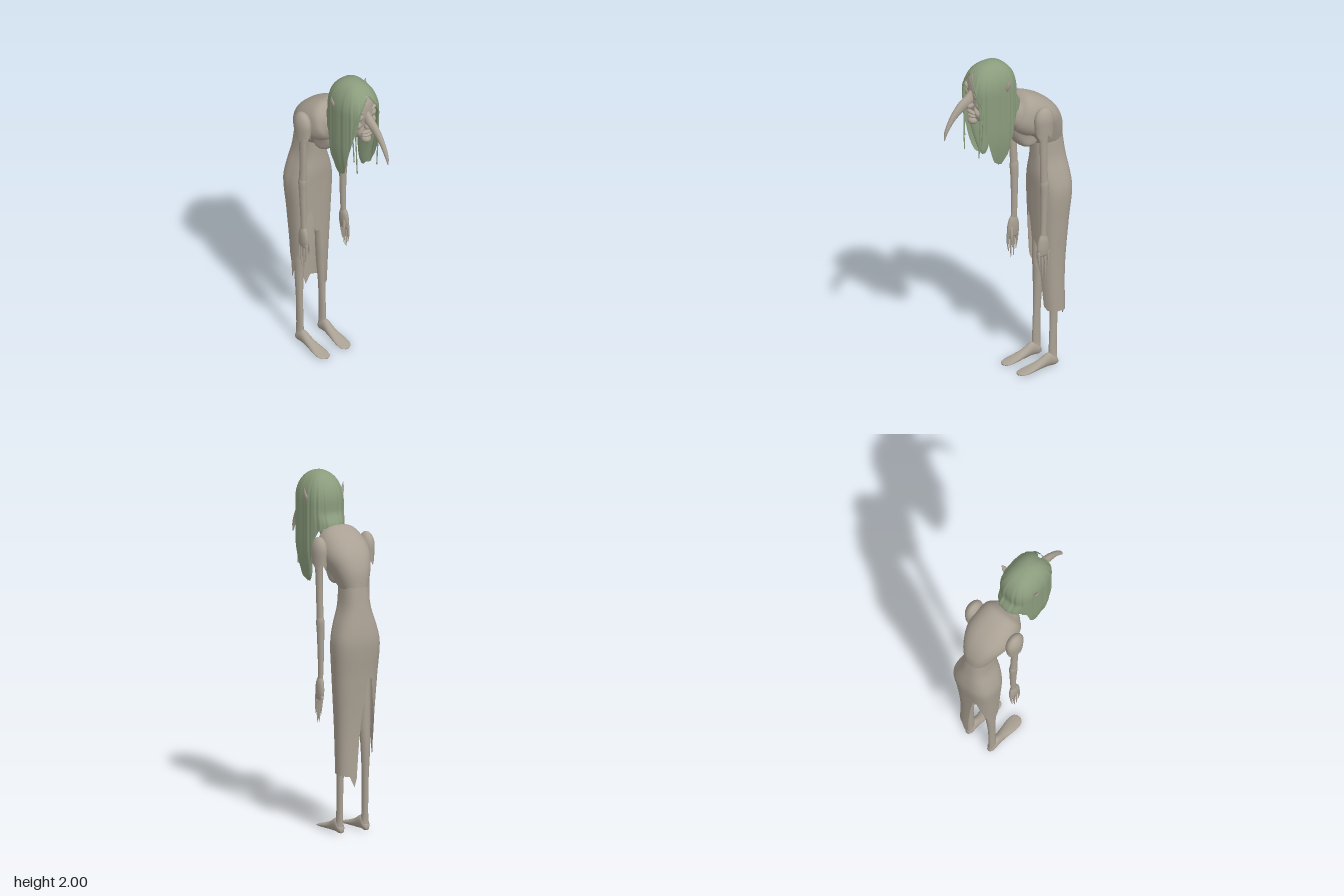
import * as THREE from 'three';

const skin = new THREE.MeshStandardMaterial({ color: 0xaaa194, side: THREE.DoubleSide });
skin.name = 'greyBeige';
const green = new THREE.MeshStandardMaterial({ color: 0x8b9c7d, side: THREE.DoubleSide });
green.name = 'mossGreen';

// Smooth lookup in rows of [key, a, b, ...]
function smooth(rows, k) {
  const n = rows.length;
  k = Math.min(Math.max(k, rows[0][0]), rows[n - 1][0]);
  let i = 0;
  while (i < n - 2 && k > rows[i + 1][0]) i++;
  const at = (j) => rows[Math.min(Math.max(j, 0), n - 1)];
  const h = at(i + 1)[0] - at(i)[0], t = (k - at(i)[0]) / h;
  const slope = (j, c) => (at(j + 1)[c] - at(j - 1)[c]) / (at(j + 1)[0] - at(j - 1)[0]) * h;
  return rows[0].slice(1).map((_, m) => {
    const c = m + 1, t2 = t * t, t3 = t2 * t;
    return (2 * t3 - 3 * t2 + 1) * at(i)[c] + (t3 - 2 * t2 + t) * slope(i, c)
      + (3 * t2 - 2 * t3) * at(i + 1)[c] + (t3 - t2) * slope(i + 1, c);
  });
}

// Straight lookup in pairs of [key, value]
function linear(pairs, k) {
  let i = 0;
  while (i < pairs.length - 2 && k > pairs[i + 1][0]) i++;
  const [a, b] = [pairs[i], pairs[i + 1]];
  return a[1] + (b[1] - a[1]) * Math.min(1, Math.max(0, (k - a[0]) / (b[0] - a[0])));
}

// Rounded-box curve: n = 2 is an ellipse, higher is squarer
const bow = (v, n) => Math.sign(v) * Math.pow(Math.abs(v), 2 / n);

function grid(pos, cols, rows, caps) {
  const idx = [];
  for (let r = 0; r < rows; r++) for (let i = 0; i < cols; i++) {
    const j = (i + 1) % cols, a = r * cols + i, b = r * cols + j;
    idx.push(a, b, b + cols, a, b + cols, a + cols);
    const end = cols * (rows + 1);
    if (caps && r === 0) idx.push(end, b, a);
    if (caps && r === rows - 1) idx.push(end + 1, a + cols, b + cols);
  }
  const g = new THREE.BufferGeometry();
  g.setAttribute('position', new THREE.Float32BufferAttribute(pos, 3));
  g.setIndex(idx);
  g.computeVertexNormals();
  return g;
}

function add(parent, name, geo, mat) {
  const m = new THREE.Mesh(geo, mat);
  m.name = name;
  parent.add(m);
  return m;
}

// Closed form through rings [x, y, z, halfWidth, halfDepth, tilt?]
function loft(rings, cols = 20, per = 6, n = 2) {
  const keyed = rings.map((r, i) => [i, ...r]), last = (rings.length - 1) * per, pos = [];
  const s = [];
  for (let i = 0; i <= last; i++) s.push(smooth(keyed, i / per));
  s.forEach((c, i) => {
    const p = s[Math.max(0, i - 1)], q = s[Math.min(last, i + 1)];
    const t = c.length > 5 ? c[5] : Math.atan2(q[2] - p[2], q[1] - p[1]);
    for (let k = 0; k < cols; k++) {
      const a = k / cols * Math.PI * 2, d = bow(Math.cos(a), n) * c[4];
      pos.push(c[0] + bow(Math.sin(a), n) * c[3], c[1] - Math.sin(t) * d, c[2] + Math.cos(t) * d);
    }
  });
  pos.push(...s[0].slice(0, 3), ...s[last].slice(0, 3));
  return grid(pos, cols, last, true);
}

// Hanging cloth or hair: shape(y, angle) gives [halfWidth, halfDepth, zCentre], hem(deg) the lower edge
function sheet(top, hem, shape, cols, rows, ease = 1, n = 2) {
  const pos = [];
  for (let r = 0; r <= rows; r++) for (let i = 0; i < cols; i++) {
    const a = i / cols * Math.PI * 2, low = hem(i / cols * 360);
    const y = top - (top - low) * Math.pow(1 - r / rows, ease);
    const [w, d, z] = shape(y, a);
    pos.push(bow(Math.sin(a), n) * w, y, z + bow(Math.cos(a), n) * d);
  }
  return grid(pos, cols, rows, false);
}

function ball(parent, name, p, r) {
  const m = add(parent, name, new THREE.SphereGeometry(1, 24, 18), skin);
  m.position.set(...p);
  m.scale.set(...r);
  return m;
}

const dome = (y, top, h, e) => {
  const t = Math.min(1, Math.max(0, (top - y) / h));
  return Math.pow(1 - Math.pow(1 - t, e), 1 / e);
};

export function createModel() {
  const g = new THREE.Group();
  g.name = 'stoopedFigure';

  // Torn dress
  const body = [[0.28, 0.11, 0.07, -0.3], [0.6, 0.112, 0.08, -0.29], [0.9, 0.128, 0.095, -0.296],
    [1.1, 0.137, 0.109, -0.304], [1.2, 0.116, 0.108, -0.298], [1.3, 0.085, 0.099, -0.292], [1.42, 0.073, 0.092, -0.283]];
  const hem = [[0, 0.77], [6, 0.74], [13, 0.68], [18, 0.55], [24, 0.37], [40, 0.35], [150, 0.34], [160, 0.3],
    [166, 0.28], [172, 0.33], [177, 0.5], [182, 0.72], [192, 0.9], [203, 0.9], [214, 0.78], [228, 0.7], [245, 0.6], [258, 0.55],
    [267, 0.43], [278, 0.58], [300, 0.63], [320, 0.72], [330, 0.9], [339, 0.935], [346, 0.9], [352, 0.78], [360, 0.77]];
  add(g, 'dress', sheet(1.42, (d) => linear(hem, d), (y) => smooth(body, y), 180, 36, 1, 2.6), skin);

  // Hunched torso, bodice front and neck
  add(g, 'torso', loft([
    [0, 1.4, -0.284, 0.072, 0.091, 0], [0, 1.5, -0.242, 0.108, 0.124, 0.2], [0, 1.57, -0.185, 0.136, 0.13, 0.65],
    [0, 1.628, -0.09, 0.122, 0.115, 1.12], [0, 1.63, -0.045, 0.085, 0.076, 1.25], [0, 1.65, -0.01, 0.05, 0.05, 1.2],
    [0, 1.73, 0.06, 0.045, 0.045, 0.8],
  ], 48, 8, 2.4), skin);
  add(g, 'bodice', loft([[0, 1.41, -0.145, 0.055, 0.045, 0], [0, 1.43, -0.137, 0.066, 0.062, 0], [0, 1.48, -0.125, 0.07, 0.082, 0],
    [0, 1.54, -0.12, 0.08, 0.087, 0], [0, 1.6, -0.125, 0.09, 0.08, 0]], 32, 6, 2.6), skin);
  for (let i = 0; i < 5; i++) {
    ball(g, 'spineBump', [0, 1.45 + i * 0.047, [-0.362, -0.352, -0.336, -0.31, -0.27][i]], [0.014, 0.016, 0.012]);
  }

  // Arms, sleeves and hands
  for (const s of [-1, 1]) {
    const arm = new THREE.Group();
    arm.name = s > 0 ? 'leftArm' : 'rightArm';
    g.add(arm);
    const sleeve = sheet(1.685, (d) => 1.5 + 0.04 * Math.abs(((d / 40) % 2) - 1), (y) => {
      const f = dome(y, 1.685, 0.08, 2) * (1 - 0.12 * Math.max(0, (1.6 - y) / 0.1));
      return [0.041 * f, 0.062 * f, 0];
    }, 54, 16, 2);
    add(arm, 'sleeve', sleeve, skin).position.set(s * 0.15, 0, -0.163);
    add(arm, 'upperArm', loft([[s * 0.146, 1.2, -0.167, 0.019, 0.024], [s * 0.147, 1.3, -0.163, 0.018, 0.023],
      [s * 0.149, 1.45, -0.16, 0.019, 0.025], [s * 0.15, 1.6, -0.16, 0.025, 0.035]]), skin);
    add(arm, 'forearm', loft([[s * 0.143, 0.86, -0.163, 0.013, 0.019], [s * 0.142, 0.95, -0.166, 0.015, 0.019],
      [s * 0.144, 1.12, -0.168, 0.02, 0.023], [s * 0.146, 1.2, -0.168, 0.022, 0.027], [s * 0.146, 1.235, -0.166, 0.015, 0.018]]), skin);
    add(arm, 'palm', loft([[s * 0.146, 0.755, -0.161, 0.012, 0.035], [s * 0.145, 0.8, -0.16, 0.018, 0.04],
      [s * 0.144, 0.85, -0.161, 0.018, 0.032], [s * 0.143, 0.885, -0.163, 0.011, 0.016]]), skin);
    [0.03, 0.011, -0.009, -0.029].forEach((z, i) => {
      const tip = [0.66, 0.62, 0.625, 0.665][i];
      add(arm, 'finger', loft([[s * 0.153, tip, -0.16 + z * 0.85, 0.002, 0.002], [s * 0.152, (tip + 0.77) / 2, -0.16 + z * 1.05, 0.006, 0.006],
        [s * 0.147, 0.78, -0.16 + z, 0.009, 0.01]], 8, 4), skin);
    });
    add(arm, 'thumb', loft([[s * 0.122, 0.7, -0.14, 0.003, 0.003], [s * 0.125, 0.76, -0.137, 0.007, 0.008],
      [s * 0.138, 0.82, -0.145, 0.01, 0.012]], 8, 4), skin);
  }

  // Thin legs and long flat feet
  for (const s of [-1, 1]) {
    const leg = new THREE.Group();
    leg.name = s > 0 ? 'leftLeg' : 'rightLeg';
    g.add(leg);
    add(leg, 'shin', loft([[s * 0.08, 0.03, -0.275, 0.024, 0.024], [s * 0.08, 0.1, -0.272, 0.017, 0.026],
      [s * 0.08, 0.3, -0.277, 0.018, 0.024], [s * 0.078, 0.48, -0.282, 0.026, 0.03],
      [s * 0.074, 0.6, -0.28, 0.03, 0.033], [s * 0.068, 0.75, -0.282, 0.027, 0.034], [s * 0.06, 0.95, -0.285, 0.03, 0.038]]), skin);
    add(leg, 'foot', loft([[s * 0.08, 0.022, -0.302, 0.012, 0.014, 1.57], [s * 0.08, 0.035, -0.28, 0.024, 0.032, 1.57],
      [s * 0.08, 0.046, -0.24, 0.025, 0.04, 1.57], [s * 0.078, 0.03, -0.18, 0.029, 0.026, 1.57],
      [s * 0.077, 0.016, -0.1, 0.039, 0.013, 1.57], [s * 0.075, 0.01, -0.055, 0.033, 0.007, 1.57],
      [s * 0.073, 0.008, -0.038, 0.015, 0.004, 1.57]], 20, 5), skin);
  }
  // Ragged cloth around the exposed knee
  const cuff = sheet(0.93, (d) => 0.565 + 0.045 * Math.abs(((d / 36) % 2) - 1), (y) => [0.033, 0.04, 0], 60, 10);
  add(g, 'tornUnderskirt', cuff, skin).position.set(-0.07, 0, -0.282);

  // Head and wrinkled face
  const head = new THREE.Group();
  head.name = 'head';
  g.add(head);
  add(head, 'skull', loft([[0, 1.66, 0.165, 0.035, 0.045, 0], [0, 1.7, 0.15, 0.062, 0.075, 0], [0, 1.77, 0.13, 0.082, 0.1, 0],
    [0, 1.84, 0.125, 0.092, 0.112, 0], [0, 1.91, 0.12, 0.084, 0.108, 0], [0, 1.96, 0.12, 0.055, 0.07, 0]], 32, 6, 2.3), skin);
  ball(head, 'chin', [0, 1.662, 0.218], [0.028, 0.024, 0.03]);
  ball(head, 'upperLip', [0, 1.717, 0.228], [0.038, 0.011, 0.018]);
  ball(head, 'lowerLip', [0, 1.694, 0.227], [0.032, 0.01, 0.018]);
  for (const s of [-1, 1]) {
    ball(head, 'eyelid', [s * 0.042, 1.825, 0.215], [0.027, 0.024, 0.022]);
    ball(head, 'brow', [s * 0.04, 1.86, 0.22], [0.036, 0.01, 0.016]).rotation.z = s * 0.35;
    ball(head, 'cheek', [s * 0.05, 1.768, 0.2], [0.025, 0.028, 0.03]);
    ball(head, 'smileFold', [s * 0.036, 1.733, 0.21], [0.009, 0.035, 0.022]).rotation.z = s * 0.45;
    ball(head, 'nostril', [s * 0.018, 1.767, 0.248], [0.014, 0.017, 0.022]);
    const ear = add(head, 'ear', loft([[0, 0, 0, 0.006, 0.008], [0.005, 0.025, 0, 0.011, 0.016],
      [0.014, 0.05, -0.003, 0.008, 0.012], [0.022, 0.085, -0.008, 0.001, 0.002]], 12, 5), skin);
    ear.position.set(s * 0.107, 1.838, 0.06);
    if (s < 0) ear.rotation.y = Math.PI;
  }
  add(head, 'hookedNose', loft([[0, 1.588, 0.414, 0.003, 0.003], [0, 1.64, 0.4, 0.011, 0.011], [0, 1.71, 0.358, 0.015, 0.019],
    [0, 1.765, 0.3, 0.02, 0.03], [0, 1.8, 0.245, 0.024, 0.034], [0, 1.86, 0.205, 0.016, 0.02]], 20, 7), skin);

  // Long parted hair, flaring over the nape
  const hair = new THREE.Group();
  hair.name = 'hair';
  g.add(hair);
  const edge = [[0, 1.955], [8, 1.925], [20, 1.885], [31, 1.81], [39, 1.74], [50, 1.67], [62, 1.57], [71, 1.49], [82, 1.41], [94, 1.378],
    [105, 1.43], [116, 1.51], [126, 1.61], [140, 1.68], [155, 1.7], [180, 1.7]];
  const hairShape = (y, a) => {
    const f = dome(y, 2, 0.17, 2.1) * (1 + (0.012 * Math.sin(a * 18) + 0.008 * Math.sin(a * 31)) * Math.min(1, (2 - y) * 6));
    const low = Math.max(0, (1.62 - y) / 0.24), c = Math.cos(a);
    const nape = 0.035 * THREE.MathUtils.smoothstep(1.79 - y, 0, 0.08) * Math.max(0, -c - 0.6) / 0.4;
    return [0.115 * f * (1 - 0.24 * low * low), 0.152 * f + nape, 0.106];
  };
  add(hair, 'hairCap', sheet(2, (d) => linear(edge, d > 180 ? 360 - d : d), hairShape, 180, 36, 2, 2.6), green);
  for (const s of [-1, 1]) {
    add(hair, 'sideLock', loft([[s * 0.076, 1.378, 0.09, 0.004, 0.012, 0], [s * 0.08, 1.42, 0.09, 0.014, 0.035, 0],
      [s * 0.086, 1.52, 0.097, 0.02, 0.06, 0], [s * 0.086, 1.62, 0.105, 0.02, 0.075, 0],
      [s * 0.084, 1.72, 0.11, 0.016, 0.075, 0]]), green);
    // Loose strands framing the face
    [[0.07, 1.45, 0.226], [0.083, 1.53, 0.215]].forEach(([x, y, z]) => {
      const path = new THREE.CatmullRomCurve3([[0.006, 1.955, 0.235], [0.06, 1.87, 0.245], [x + 0.008, 1.75, z], [x + 0.006, (y + 1.75) / 2, z], [x, y, z]]
        .map((p) => new THREE.Vector3(s * p[0], p[1], p[2])));
      add(hair, 'strand', new THREE.TubeGeometry(path, 24, 0.0035, 6), green);
    });
  }
  return g;
}
